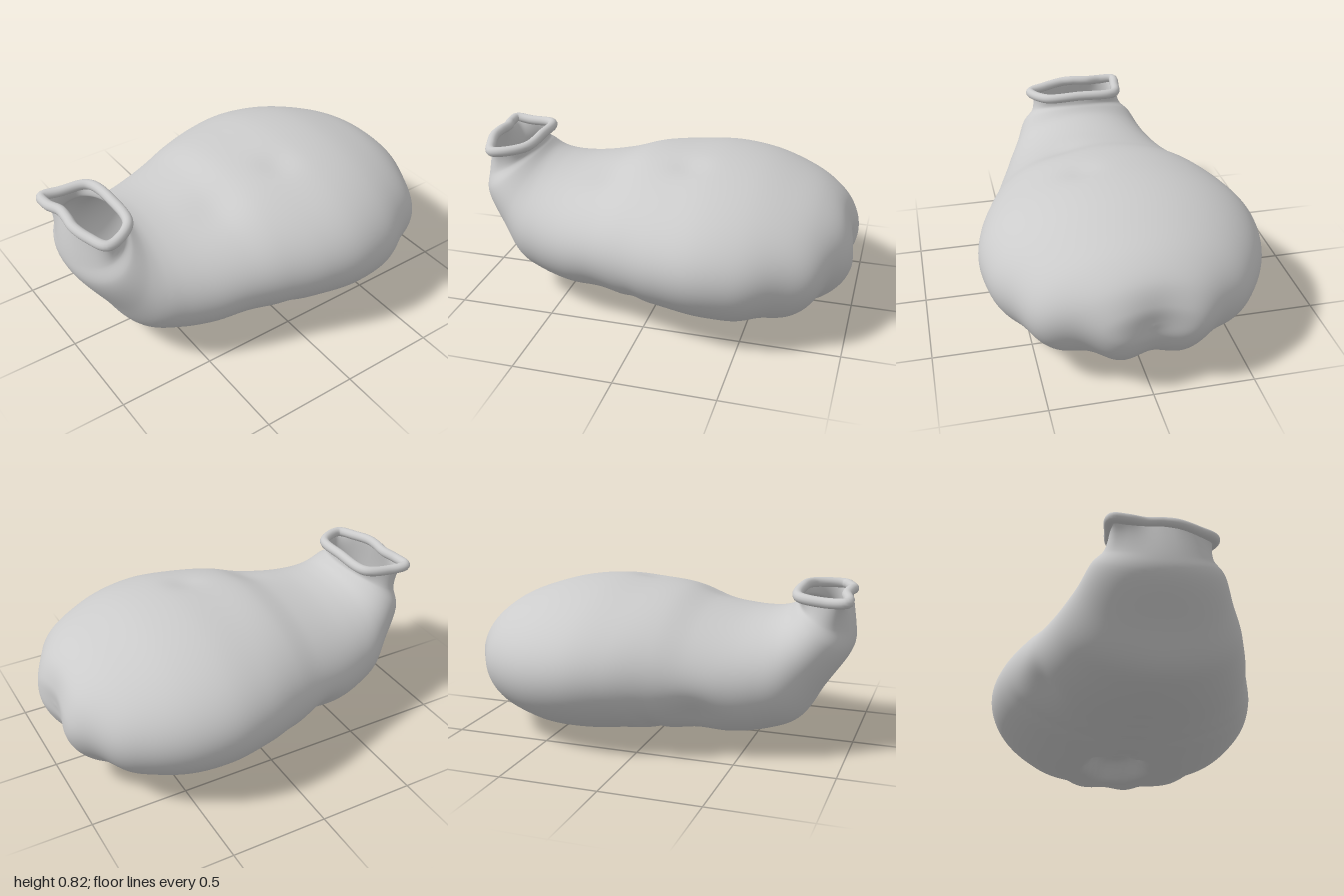
import * as THREE from 'three';

const material = new THREE.MeshStandardMaterial({ color: 0xcccccc, side: THREE.DoubleSide });

// Cross-sections from the rounded back to the neck:
// top z, top y, bottom z, bottom y, half width
const sections = [
  [-0.98, 0.38, -0.98, 0.37, 0],
  [-0.97, 0.48, -0.97, 0.28, 0.23],
  [-0.92, 0.58, -0.92, 0.19, 0.37],
  [-0.82, 0.66, -0.82, 0.10, 0.50],
  [-0.68, 0.72, -0.68, 0.04, 0.61],
  [-0.50, 0.77, -0.50, 0.00, 0.69],
  [-0.30, 0.79, -0.30, 0.00, 0.72],
  [-0.10, 0.78, -0.10, 0.02, 0.69],
  [0.10, 0.76, 0.10, 0.03, 0.625],
  [0.27, 0.71, 0.25, 0.05, 0.57],
  [0.45, 0.68, 0.42, 0.04, 0.52],
  [0.56, 0.68, 0.60, 0.07, 0.47],
  [0.62, 0.69, 0.74, 0.13, 0.43],
  [0.66, 0.705, 0.86, 0.29, 0.375],
  [0.69, 0.73, 0.985, 0.50, 0.315],
  [0.705, 0.75, 0.985, 0.61, 0.26],
  [0.71, 0.79, 0.95, 0.78, 0.225],
];

// Uneven outline of the mouth, from the middle of its rear edge round by the left
const lip = new THREE.CatmullRomCurve3([
  [0, 0.795, 0.71], [0.19, 0.785, 0.735], [0.265, 0.775, 0.88], [0.17, 0.78, 0.93],
  [0.07, 0.79, 0.955], [0, 0.795, 0.95], [-0.08, 0.79, 0.945], [-0.17, 0.78, 0.97],
  [-0.245, 0.78, 0.965], [-0.24, 0.775, 0.87], [-0.2, 0.785, 0.735],
].map(p => new THREE.Vector3(...p)), true);

// Soft dents: x, y, z, radius, push
const dents = [
  [0.17, 0.77, -0.15, 0.09, [0, -0.012, 0]],
  [0.20, 0.70, 0.25, 0.13, [0, -0.015, 0]],
  [0.0, 0.33, 0.92, 0.2, [0, 0, -0.02]],
  [-0.5, 0.22, 0.3, 0.12, [0.02, 0.015, 0]],
];

const smooth = THREE.MathUtils.smoothstep;
const hub = { x: -0.03, z: -0.28 };

// Folds radiate from a puckered hollow under the body
function wrinkle(p) {
  const dx = p.x - hub.x, dz = p.z - hub.z;
  const r = Math.hypot(dx, dz);
  const angle = Math.atan2(dx, -dz);
  const low = 1 - smooth(p.y, 0.25, 0.65);
  const sector = smooth(angle, -1.0, -0.2) * (1 - smooth(angle, 0.6, 1.5));
  const fold = -Math.cos(12 * angle) * 0.02 * low * sector * smooth(r, 0.22, 0.6);
  if (r > 0.01) {
    p.x += dx / r * fold;
    p.z += dz / r * fold;
  }
  // Hollow and the crease where the front lobe meets the body
  const under = 1 - smooth(p.y, 0.1, 0.38);
  const rim = 1 + 0.06 * Math.cos(7 * angle);
  const crease = Math.exp(-(((p.z - 0.1 + 0.1 * Math.abs(p.x)) / 0.045) ** 2));
  p.y += under * (0.1 * (1 - smooth(r * rim, 0.08, 0.19)) + 0.012 * crease - 0.3 * fold);
  for (const [x, y, z, radius, push] of dents) {
    const d2 = (p.x - x) ** 2 + (p.y - y) ** 2 + (p.z - z) ** 2;
    p.addScaledVector(new THREE.Vector3(...push), Math.exp(-d2 / radius ** 2));
  }
  p.y = Math.max(p.y, 0);
  return p;
}

function createBody(rings = 140, sides = 144) {
  const top = new THREE.CatmullRomCurve3(sections.map(s => new THREE.Vector3(s[4], s[1], s[0])));
  const bottom = new THREE.CatmullRomCurve3(sections.map(s => new THREE.Vector3(s[4], s[3], s[2])));
  const mouth = lip.getSpacedPoints(sides);
  const positions = [], index = [];
  for (let i = 0; i <= rings; i++) {
    const t = (i / rings) ** 1.15;
    const a = top.getPoint(t), b = bottom.getPoint(t);
    for (let j = 0; j < sides; j++) {
      const angle = j / sides * Math.PI * 2;
      const p = b.clone().lerp(a, 0.5 + 0.5 * Math.cos(angle));
      p.x = (a.x + b.x) / 2 * Math.sin(angle);
      // The neck takes on the outline of the mouth
      wrinkle(p).lerp(mouth[j], smooth(t, 0.93, 1));
      positions.push(...p.toArray());
      if (i === rings) continue;
      const k = i * sides + j, n = i * sides + (j + 1) % sides;
      index.push(k, k + sides, n, n, k + sides, n + sides);
    }
  }
  const geometry = new THREE.BufferGeometry();
  geometry.setAttribute('position', new THREE.Float32BufferAttribute(positions, 3));
  geometry.setIndex(index);
  geometry.computeVertexNormals();
  return geometry;
}

export function createModel() {
  const group = new THREE.Group();

  const body = new THREE.Mesh(createBody(), material);
  body.name = 'body';
  group.add(body);

  // Rolled lip around the mouth
  const rim = new THREE.Mesh(new THREE.TubeGeometry(lip, 120, 0.026, 14, true), material);
  rim.name = 'rim';
  group.add(rim);

  return group;
}
